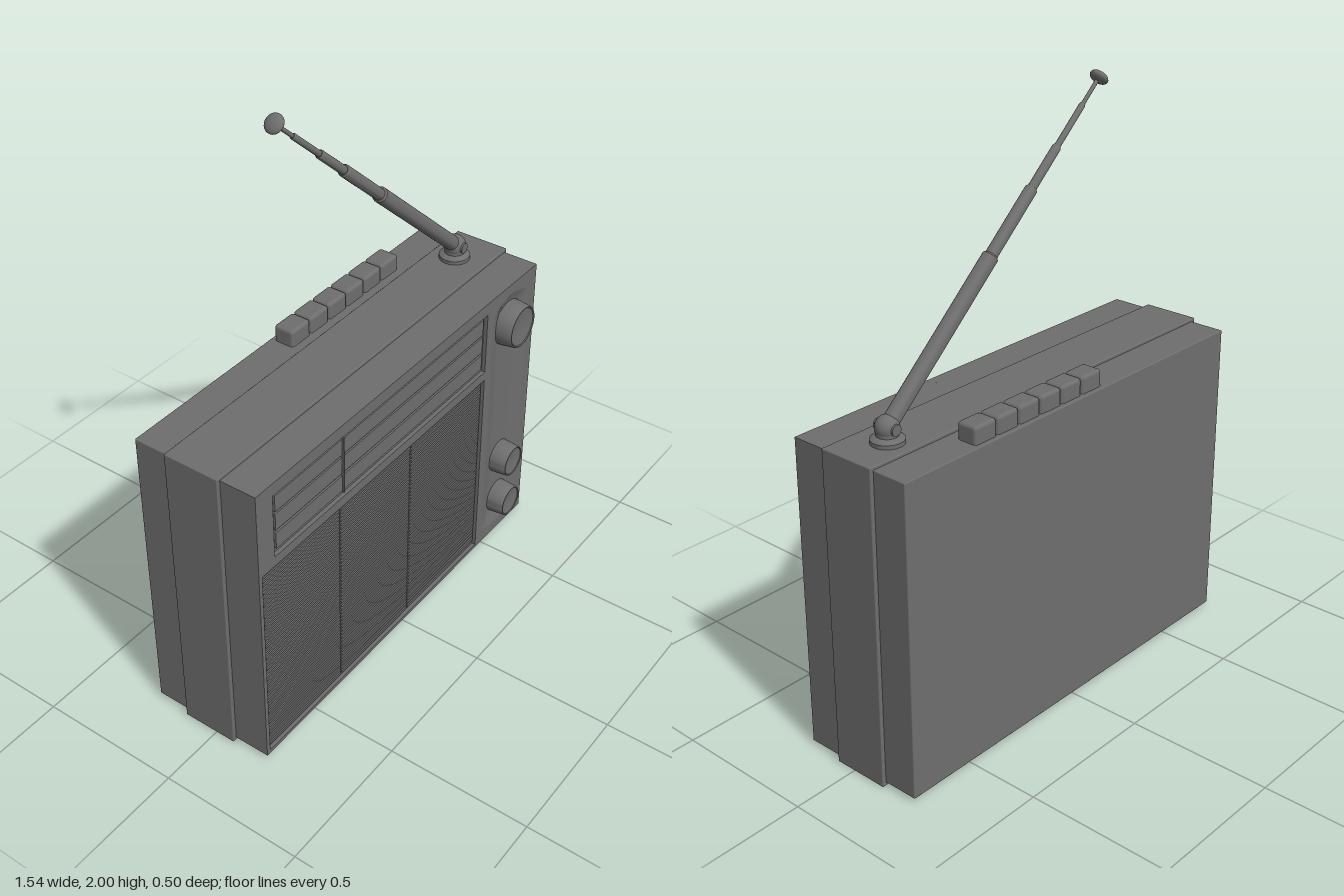
import * as THREE from 'three';
import { RoundedBoxGeometry } from 'three/addons/geometries/RoundedBoxGeometry.js';
import { toCreasedNormals } from 'three/addons/utils/BufferGeometryUtils.js';

const darkGrey = new THREE.MeshStandardMaterial({ color: 0x6e6e6e });
const FRONT = 0.2; // z of the face plate

function add(parent, name, geometry, x = 0, y = 0, z = 0) {
  const mesh = new THREE.Mesh(geometry, darkGrey);
  mesh.name = name;
  mesh.position.set(x, y, z);
  parent.add(mesh);
  return mesh;
}

// Box given by its limits on each axis
function block(parent, name, x0, x1, y0, y1, z0, z1, r = 0) {
  const s = [x1 - x0, y1 - y0, z1 - z0];
  const geo = r ? new RoundedBoxGeometry(...s, 2, r) : new THREE.BoxGeometry(...s);
  return add(parent, name, geo, (x0 + x1) / 2, (y0 + y1) / 2, (z0 + z1) / 2);
}

function lathe(points, sides = 40) {
  const geo = new THREE.LatheGeometry(points.map(p => new THREE.Vector2(...p)), sides);
  return toCreasedNormals(geo, 0.6);
}

const polygon = (points, Type = THREE.Path) => new Type(points.map(p => new THREE.Vector2(...p)));
const rect = (x0, x1, y0, y1, Type) => polygon([[x0, y0], [x1, y0], [x1, y1], [x0, y1]], Type);

function createCase() {
  const g = new THREE.Group();
  g.name = 'case';
  block(g, 'middleBand', -0.768, 0.768, 0, 1.085, -0.127, 0.072, 0.004);
  block(g, 'backShell', -0.755, 0.755, 0.012, 1.075, -0.25, -0.12, 0.004);
  block(g, 'frontShell', -0.755, 0.755, 0.012, 1.075, 0.06, 0.165);

  // Face plate with openings for grille, dial and knob channel
  const face = rect(-0.755, 0.755, 0.012, 1.075, THREE.Shape);
  face.holes.push(
    rect(-0.74, 0.452, 0.025, 0.765),
    rect(-0.68, 0.452, 0.8, 1.03),
    polygon([[0.49, 0.06], [0.6, 0.05], [0.71, 0.06], [0.71, 1.01], [0.6, 1.04], [0.49, 1.01]])
  );
  const plate = new THREE.ExtrudeGeometry(face, { depth: FRONT - 0.165, bevelEnabled: false });
  add(g, 'facePlate', plate, 0, 0, 0.165);

  // Shallow channel behind the knobs: flat floor, sloping sides and ends
  const channel = new THREE.PlaneGeometry(2, 1, 16, 40);
  const p = channel.attributes.position;
  for (let i = 0; i < p.count; i++) {
    const u = p.getX(i), v = p.getY(i) + 0.5;
    const low = 0.05 + 0.01 * Math.abs(u), high = 1.04 - 0.03 * Math.abs(u);
    const y = low + (high - low) * v;
    const side = Math.min(1, (1 - Math.abs(u)) / 0.5);
    const ramp = Math.min(1, (y - low) / 0.05, (high - y) / 0.04);
    p.setXYZ(i, 0.6 + 0.11 * u, y, FRONT - 0.014 * side * ramp);
  }
  channel.computeVertexNormals();
  add(g, 'knobChannel', channel);
  return g;
}

function createGrille() {
  const g = new THREE.Group();
  g.name = 'speakerGrille';
  block(g, 'grilleBacking', -0.74, 0.452, 0.025, 0.765, 0.16, 0.187);
  const x = [-0.735, -0.354, 0.027, 0.447], count = 46, pitch = 0.722 / count;
  // Low horizontal ribs with bevelled edges, in three columns
  const profile = polygon([[-0.0062, 0], [0.0062, 0], [0.0045, 0.006], [-0.0045, 0.006]], THREE.Shape);
  for (let c = 0; c < 3; c++) {
    const rib = new THREE.ExtrudeGeometry(profile, { depth: x[c + 1] - x[c] - 0.008, bevelEnabled: false });
    rib.rotateY(Math.PI / 2);
    rib.rotateX(Math.PI / 2);
    for (let i = 0; i < count; i++)
      add(g, 'rib', rib, x[c] + 0.004, 0.034 + (i + 0.5) * pitch, 0.187);
  }
  return g;
}

function createDial() {
  const g = new THREE.Group();
  g.name = 'tuningDial';
  block(g, 'dialBacking', -0.68, 0.452, 0.8, 1.03, 0.16, 0.186);
  const rows = [[0.817, 0.876], [0.886, 0.948], [0.956, 1.016]];
  for (const [y0, y1] of rows) {
    block(g, 'bandLabel', -0.663, -0.342, y0, y1, 0.18, 0.193);
    block(g, 'bandScale', -0.33, 0.438, y0, y1, 0.18, 0.193);
  }
  block(g, 'dialPointer', -0.339, -0.333, 0.81, 1.02, 0.18, 0.197);
  return g;
}

// Tapered knob with a thin rim and a dished face
function createKnob(parent, name, y, r) {
  const knob = lathe([
    [r * 1.04, 0], [r * 1.02, 0.03], [r * 0.95, 0.074], [r * 0.92, 0.078],
    [r * 0.88, 0.078], [r * 0.85, 0.075], [r * 0.45, 0.071], [0, 0.069]
  ]);
  knob.rotateX(Math.PI / 2);
  add(parent, name, knob, 0.602, y, 0.172);
}

function createAntenna() {
  const g = new THREE.Group();
  g.name = 'antenna';
  g.position.set(0.615, 1.085, -0.042);
  add(g, 'swivelBase', lathe([[0, 0], [0.053, 0], [0.053, 0.013], [0.045, 0.02], [0.034, 0.024], [0, 0.024]]));
  add(g, 'swivelPost', new THREE.CylinderGeometry(0.035, 0.035, 0.035, 28), 0, 0.03, 0);
  add(g, 'pivotBall', new THREE.SphereGeometry(0.038, 28, 18), 0, 0.048, 0);
  const pin = new THREE.CylinderGeometry(0.018, 0.018, 0.08, 20);
  pin.rotateX(Math.PI / 2);
  add(g, 'pivotPin', pin, 0, 0.048, 0);

  // Telescopic rod, leaning towards the right end of the case
  const rod = new THREE.Group();
  rod.name = 'telescopicRod';
  rod.position.y = 0.048;
  rod.rotation.z = Math.atan2(0.94, 0.845);
  g.add(rod);
  const stages = [[0.02, 0.6, 0.026], [0.59, 0.845, 0.02], [0.84, 1.0, 0.0145], [0.99, 1.16, 0.01], [1.15, 1.26, 0.0065]];
  for (const [a, b, r] of stages) {
    const tube = lathe([[0, a], [r, a], [r, b - 0.006], [r * 0.8, b], [0, b]], 20);
    add(rod, 'rodStage', tube);
  }
  add(rod, 'rodTip', new THREE.SphereGeometry(0.031, 24, 14), 0, 1.261, 0).scale.y = 0.5;
  return g;
}

export function createModel() {
  const radio = new THREE.Group();
  radio.name = 'portableRadio';
  radio.add(createCase(), createGrille(), createDial(), createAntenna());

  createKnob(radio, 'tuningKnob', 0.92, 0.08);
  createKnob(radio, 'toneKnob', 0.34, 0.06);
  createKnob(radio, 'volumeKnob', 0.155, 0.06);

  // Row of push buttons on top
  for (let i = 0; i < 6; i++) {
    const x = -0.122 + i * 0.0965;
    block(radio, 'pushButton', x, x + 0.093, 1.05, 1.133, -0.236, -0.162, 0.012);
  }
  return radio;
}
